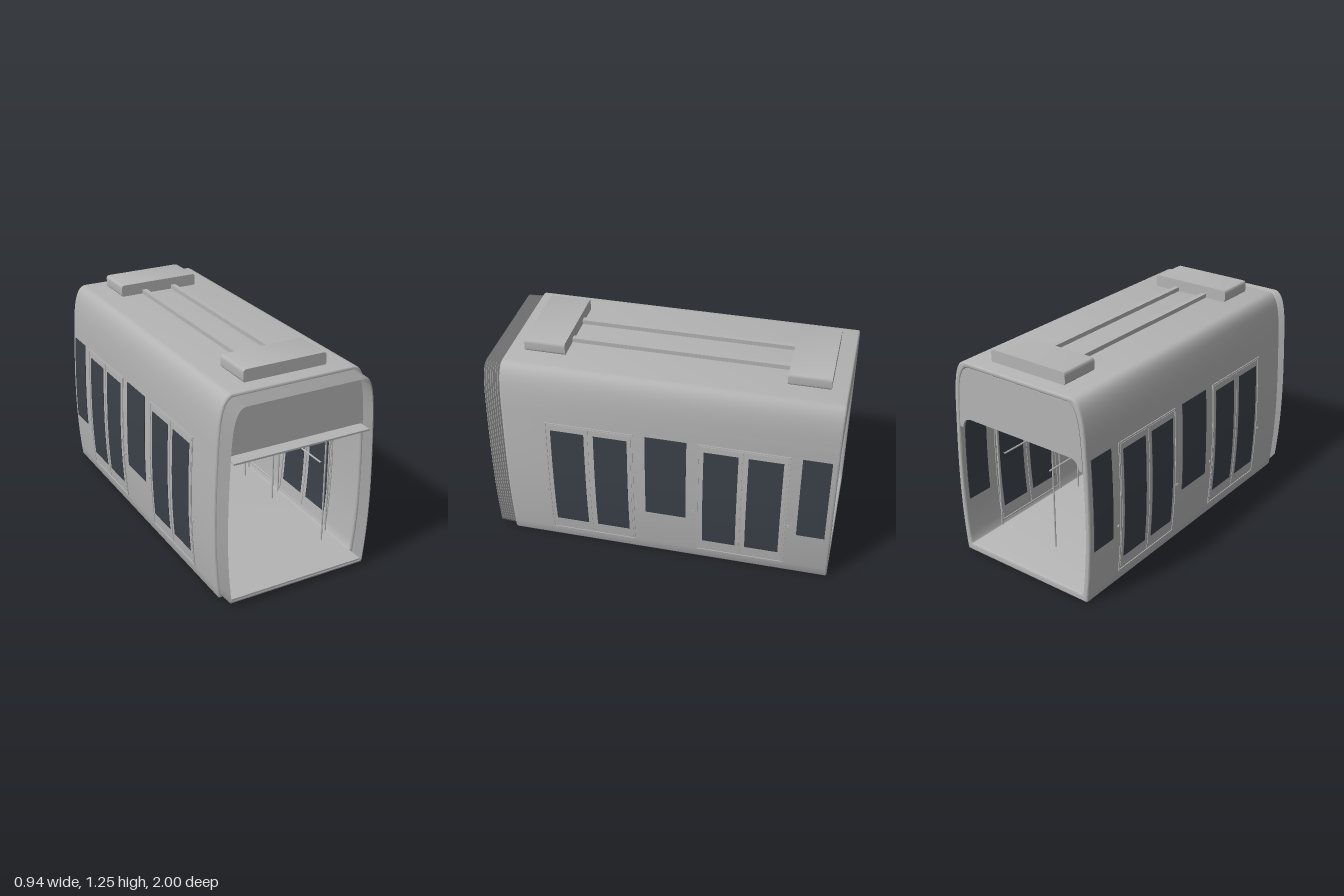
import * as THREE from 'three';
import { toCreasedNormals } from 'three/addons/utils/BufferGeometryUtils.js';

const bodyGrey = new THREE.MeshStandardMaterial({ color: 0xb4b4b4 });
bodyGrey.name = 'body grey';
const bellowsGrey = new THREE.MeshStandardMaterial({ color: 0xb2b2b2, side: THREE.DoubleSide });
bellowsGrey.name = 'bellows grey';
const darkGlass = new THREE.MeshStandardMaterial({ color: 0x3b4149 });
darkGlass.name = 'dark glass';

// Right half of the bulging car section, bottom to top
function halfProfile() {
  const s = new THREE.Shape();
  s.moveTo(0.434, 0);
  s.lineTo(0.441, 0.012);
  s.bezierCurveTo(0.475, 0.3, 0.47, 0.55, 0.455, 0.85);
  s.bezierCurveTo(0.447, 1.02, 0.44, 1.185, 0.36, 1.185);
  return s.getPoints(16);
}
const outer = halfProfile();
const inner = outer.map(p => new THREE.Vector2(p.x - 0.03, 0.045 + p.y * (1.157 - 0.045) / 1.185));
const mirrored = half => [...half, ...half.slice().reverse().map(p => new THREE.Vector2(-p.x, p.y))];

// Wall position at a given height
function wallX(profile, y) {
  for (let i = 1; i < profile.length; i++) {
    const a = profile[i - 1], b = profile[i];
    if (y <= b.y) return THREE.MathUtils.mapLinear(y, a.y, b.y, a.x, b.x);
  }
  return profile[profile.length - 1].x;
}

export function createModel() {
  const model = new THREE.Group();
  model.name = 'railCarSection';

  const add = (name, geo, mat = bodyGrey, parent = model) => {
    const m = new THREE.Mesh(geo, mat);
    m.name = name;
    parent.add(m);
    return m;
  };
  const box = (name, x0, x1, y0, y1, z0, z1, mat) =>
    add(name, new THREE.BoxGeometry(x1 - x0, y1 - y0, z1 - z0), mat)
      .position.set((x0 + x1) / 2, (y0 + y1) / 2, (z0 + z1) / 2);
  const rod = (name, from, to, r = 0.005) =>
    add(name, new THREE.TubeGeometry(new THREE.LineCurve3(new THREE.Vector3(...from), new THREE.Vector3(...to)), 1, r, 10));

  // Hollow shell: walls, roof and floor
  const shellShape = new THREE.Shape(mirrored(outer));
  shellShape.holes.push(new THREE.Path(mirrored(inner)));
  const b = 0.01;
  const shell = new THREE.ExtrudeGeometry(shellShape, {
    depth: 1.9 - 2 * b, bevelThickness: b, bevelSize: b, bevelOffset: -b, bevelSegments: 3
  });
  shell.translate(0, 0, -1 + b);
  add('bodyShell', toCreasedNormals(shell, 0.6));

  // Bulkheads above the end openings
  const upper = [new THREE.Vector2(wallX(inner, 0.79), 0.79), ...inner.filter(p => p.y > 0.8)];
  const rear = new THREE.Shape(mirrored(upper));
  rear.lineTo(-0.405, 0.79);
  rear.quadraticCurveTo(-0.395, 0.85, -0.34, 0.85);
  rear.lineTo(0.34, 0.85);
  rear.quadraticCurveTo(0.395, 0.85, 0.405, 0.79);
  add('rearBulkhead', new THREE.ExtrudeGeometry(rear, { depth: 0.015, bevelEnabled: false })).position.z = -0.997;
  const front = new THREE.Shape(mirrored([
    new THREE.Vector2(wallX(inner, 0.85), 0.85), ...inner.filter(p => p.y > 0.86)]));
  add('frontBulkhead', new THREE.ExtrudeGeometry(front, { depth: 0.015, bevelEnabled: false })).position.z = 0.905;
  box('frontLintel', -0.41, 0.41, 0.845, 0.855, 0.92, 1);

  // Pleated bellows: section loops alternating between two sizes
  const loop = mirrored(outer), n = loop.length, pleats = 16;
  const pos = [], idx = [];
  for (let k = 0; k <= pleats; k++) {
    const s = (k % 2 ? 0.975 : 0.955) - 0.008 * k / pleats;
    for (const p of loop) pos.push(p.x * s, 0.6 + (p.y - 0.6) * s, 0.895 + 0.105 * k / pleats);
    for (let i = 0; k < pleats && i < n; i++) {
      const a = k * n + i, c = k * n + (i + 1) % n;
      idx.push(a, c, c + n, a, c + n, a + n);
    }
  }
  const bellows = new THREE.BufferGeometry();
  bellows.setAttribute('position', new THREE.Float32BufferAttribute(pos, 3));
  bellows.setIndex(idx);
  add('bellows', toCreasedNormals(bellows, 0.6), bellowsGrey);
  box('bellowsFloor', -0.41, 0.41, 0.035, 0.045, 0.88, 0.995);

  // Thin plate that follows the wall curve, on both walls, inside and outside
  function wallPlate(name, y0, y1, z0, z1, proud, mat) {
    for (const side of [1, -1]) for (const [profile, out] of [[outer, 1], [inner, -1]]) {
      const g = new THREE.BoxGeometry(proud, y1 - y0, z1 - z0, 1, 8, 1);
      g.translate(0, (y0 + y1) / 2, (z0 + z1) / 2);
      const p = g.attributes.position;
      for (let i = 0; i < p.count; i++)
        p.setX(i, p.getX(i) + side * (wallX(profile, p.getY(i)) + out * proud / 2));
      g.computeVertexNormals();
      add(name, g, mat);
    }
  }

  // Double doors with tall panes
  for (const z of [0.395, -0.485]) {
    for (const s of [1, -1]) {
      const span = (a, c) => [Math.min(z + s * a, z + s * c), Math.max(z + s * a, z + s * c)];
      wallPlate('doorLeaf', 0.078, 0.845, ...span(0.004, 0.243), 0.003);
      wallPlate('doorWindow', 0.15, 0.81, ...span(0.028, 0.222), 0.005, darkGlass);
      wallPlate('doorFrameSide', 0.068, 0.855, ...span(0.248, 0.256), 0.004);
      // Door buttons and inner grab bars
      for (const side of [1, -1]) {
        const button = add('doorButton', new THREE.CylinderGeometry(0.009, 0.009, 0.008, 12));
        button.rotation.z = Math.PI / 2;
        button.position.set(side * (wallX(outer, 0.37) + 0.002), 0.37, z + s * 0.272);
        rod('doorGrabBar', [side * 0.406, 0.045, z + s * 0.262], [side * 0.406, 0.84, z + s * 0.262]);
      }
    }
    wallPlate('doorFrameTop', 0.849, 0.858, z - 0.256, z + 0.256, 0.005);
    wallPlate('doorFrameBottom', 0.066, 0.073, z - 0.256, z + 0.256, 0.005);
  }

  // Side windows
  wallPlate('middleWindow', 0.315, 0.855, -0.165, 0.07, 0.004, darkGlass);
  wallPlate('rearWindow', 0.315, 0.855, -0.965, -0.805, 0.004, darkGlass);

  // Roof equipment boxes joined by a pair of conduits
  const w = 0.25, r = 0.02, y0 = 1.18, y1 = 1.255;
  const pod = new THREE.Shape();
  pod.moveTo(-w + r, y0);
  pod.lineTo(w - r, y0);
  pod.quadraticCurveTo(w, y0, w, y0 + r);
  pod.lineTo(w, y1 - r);
  pod.quadraticCurveTo(w, y1, w - r, y1);
  pod.lineTo(-w + r, y1);
  pod.quadraticCurveTo(-w, y1, -w, y1 - r);
  pod.lineTo(-w, y0 + r);
  pod.quadraticCurveTo(-w, y0, -w + r, y0);
  for (const z of [0.57, -0.905])
    add('roofBox', toCreasedNormals(
      new THREE.ExtrudeGeometry(pod, { depth: 0.235, bevelEnabled: false, curveSegments: 5 }), 0.6)).position.z = z;
  for (const x of [-0.1, 0.097]) box('roofConduit', x - 0.015, x + 0.015, 1.18, 1.21, -0.68, 0.58);

  // Standing poles and overhead handrails
  for (const x of [-0.33, 0.33]) {
    for (const z of [0.73, 0.19, -0.14]) rod('standingPole', [x, 0.04, z], [x, 0.83, z]);
    rod('poleCrossbar', [x, 0.826, 0.19], [x, 0.826, -0.14]);
  }
  rod('centrePole', [0, 0.04, -0.74], [0, 0.85, -0.74]);
  for (const x of [-0.16, 0.16]) {
    rod('frontHandrail', [x, 0.685, 0.72], [x, 0.685, 0.93]);
    rod('rearHandrail', [x, 0.685, -0.95], [x, 0.685, -0.7]);
  }

  // Hanging information screen, dark on both faces
  box('screenCase', -0.118, 0.116, 0.735, 0.817, -0.012, 0.012);
  for (const z of [-0.013, 0.013]) box('screenFace', -0.11, 0.108, 0.741, 0.811, z - 0.002, z + 0.002, darkGlass);

  return model;
}
